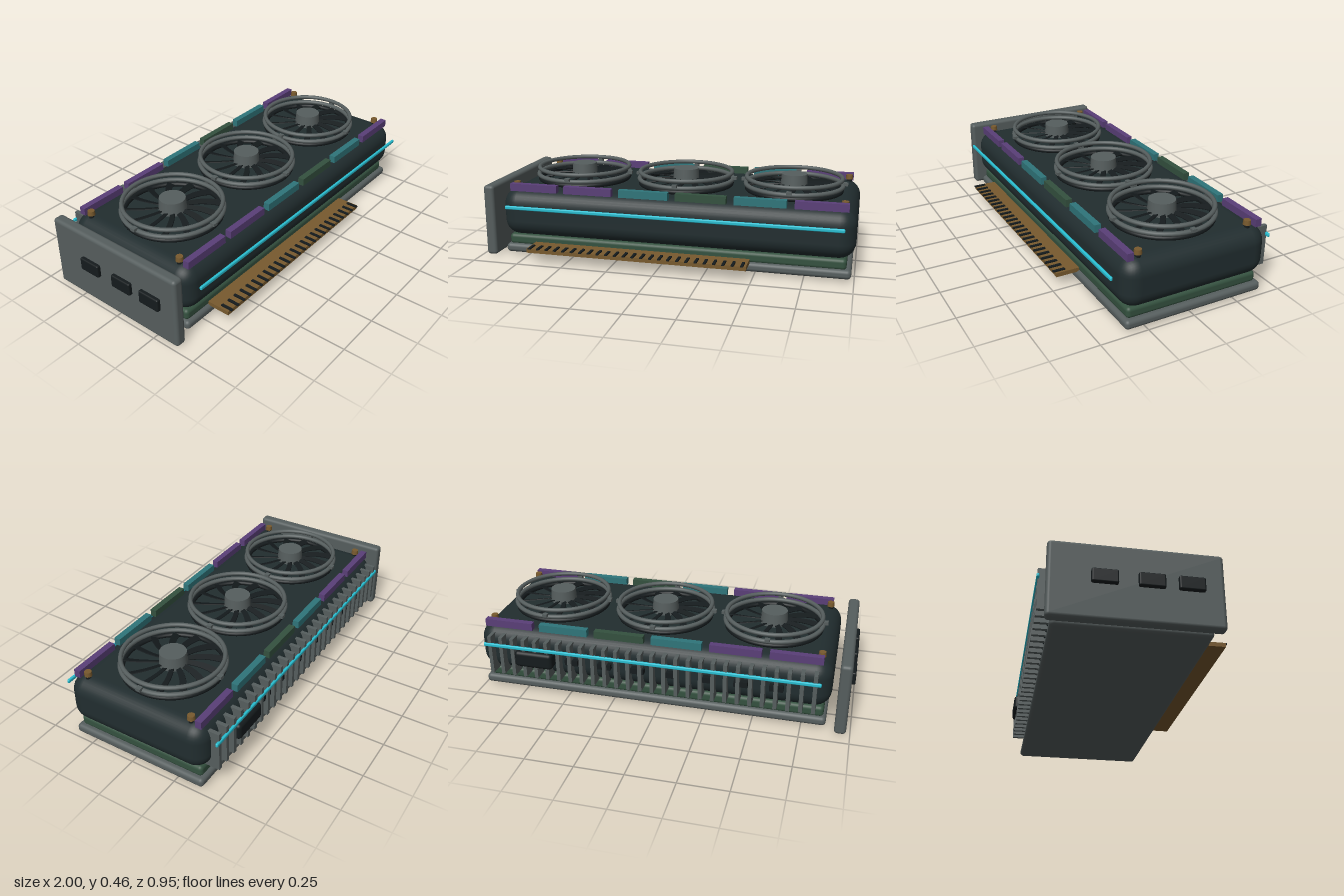
import * as THREE from 'three';
import { RoundedBoxGeometry } from 'three/addons/geometries/RoundedBoxGeometry.js';

export function createModel() {
  const model = new THREE.Group();
  model.name = 'graphicsCard';

  const mat = (name, color, opts = {}) => {
    const m = new THREE.MeshStandardMaterial({ color, ...opts });
    m.name = name;
    return m;
  };
  const shroudMat = mat('darkSlate', 0x212d2f);
  const greyMat = mat('metalGrey', 0x565e5e);
  const blackMat = mat('nearBlack', 0x151b1d, { side: THREE.DoubleSide });
  const greenMat = mat('boardGreen', 0x34513f);
  const purpleMat = mat('purple', 0x5a3f78);
  const tealMat = mat('teal', 0x2f757a);
  const cyanMat = mat('glowCyan', 0x29bfd2);
  const goldMat = mat('gold', 0x785a2e);

  const add = (name, geo, material, x = 0, y = 0, z = 0, parent = model) => {
    const mesh = new THREE.Mesh(geo, material);
    mesh.name = name;
    mesh.position.set(x, y, z);
    parent.add(mesh);
    return mesh;
  };
  // Box given by its extents; a radius rounds the edges
  const box = (name, material, x0, x1, y0, y1, z0, z1, r = 0) => {
    const s = [x1 - x0, y1 - y0, z1 - z0];
    const geo = r ? new RoundedBoxGeometry(...s, 4, r) : new THREE.BoxGeometry(...s);
    return add(name, geo, material, (x0 + x1) / 2, (y0 + y1) / 2, (z0 + z1) / 2);
  };

  // Main layers
  box('shroud', shroudMat, -0.89, 1, 0.11, 0.367, -0.415, 0.375, 0.085);
  box('circuitBoard', greenMat, -0.86, 0.96, 0.055, 0.115, -0.382, 0.342, 0.02);
  box('backplate', greyMat, -0.875, 0.985, 0.014, 0.063, -0.4, 0.36, 0.02);

  // Mounting bracket with three ports
  box('bracket', greyMat, -0.98, -0.92, 0, 0.39, -0.431, 0.388, 0.018);
  for (const z of [-0.17, 0.045, 0.23]) {
    box('port', blackMat, -1, -0.97, 0.18, 0.25, z - 0.062, z + 0.062, 0.008);
  }

  // Cooling fins on the back, with small dark spacers between them
  for (let i = 0; i < 28; i++) {
    const x = -0.81 + i * 0.0638;
    box('coolingFin', greyMat, x - 0.01, x + 0.01, 0.117, 0.332, -0.458, -0.38);
  }
  for (let i = 0; i < 7; i++) {
    const x = -0.62 + i * 0.18;
    box('finSpacer', blackMat, x - 0.035, x + 0.035, 0.21, 0.24, -0.445, -0.41);
  }
  box('powerSocket', blackMat, 0.56, 0.77, 0.18, 0.27, -0.475, -0.4, 0.02);

  // Light strips along both long sides
  for (const z of [0.416, -0.457]) {
    box('lightStrip', cyanMat, -0.84, 0.945, 0.275, 0.295, z - 0.007, z + 0.007, 0.006);
  }

  // Edge connector with contact slots
  box('edgeConnector', goldMat, -0.705, 0.475, 0.057, 0.079, 0.33, 0.467);
  for (let i = 0; i < 25; i++) {
    const x = -0.685 + i * 0.0475;
    box('contactSlot', blackMat, x - 0.007, x + 0.007, 0.079, 0.086, 0.412, 0.478);
  }

  // Coloured accent bars along the top edges
  const barMats = [purpleMat, purpleMat, tealMat, greenMat, tealMat, purpleMat];
  for (const z of [0.33, -0.372]) {
    barMats.forEach((m, i) => {
      const x = -0.705 + i * 0.306;
      box('accentBar', m, x - 0.133, x + 0.133, 0.36, 0.4, z - 0.017, z + 0.017);
    });
  }

  // Corner screws
  for (const x of [-0.825, 0.935]) {
    for (const z of [0.28, -0.32]) {
      add('screwBase', new THREE.CylinderGeometry(0.014, 0.014, 0.04, 12), blackMat, x, 0.36, z);
      add('screwHead', new THREE.CylinderGeometry(0.018, 0.02, 0.024, 12), goldMat, x, 0.388, z);
    }
  }

  // Swept fan blade, laid flat and pitched along its length
  const bladeShape = new THREE.Shape();
  bladeShape.moveTo(0.055, -0.012);
  bladeShape.quadraticCurveTo(0.15, -0.01, 0.238, -0.065);
  bladeShape.lineTo(0.245, -0.025);
  bladeShape.quadraticCurveTo(0.15, 0.022, 0.055, 0.012);
  const bladeGeo = new THREE.ExtrudeGeometry(bladeShape, { depth: 0.005, bevelEnabled: false, curveSegments: 6 });
  bladeGeo.rotateX(-Math.PI / 2);
  bladeGeo.rotateX(0.35);
  const ringGeo = (radius, tube) => new THREE.TorusGeometry(radius, tube, 10, 48).rotateX(Math.PI / 2);

  // Three fans: rings, hub, blades and clips
  for (const x of [-0.545, 0.054, 0.652]) {
    const fan = new THREE.Group();
    fan.name = 'fan';
    fan.position.set(x, 0, -0.022);
    model.add(fan);
    add('baseRing', ringGeo(0.252, 0.013), blackMat, 0, 0.377, 0, fan);
    add('lowerRing', ringGeo(0.26, 0.012), greyMat, 0, 0.401, 0, fan);
    add('upperRing', ringGeo(0.255, 0.0115), greyMat, 0, 0.438, 0, fan);
    add('hub', new THREE.CylinderGeometry(0.068, 0.073, 0.07, 24), greyMat, 0, 0.423, 0, fan);
    for (let i = 0; i < 13; i++) {
      const blade = add('blade', bladeGeo, blackMat, 0, 0.398, 0, fan);
      blade.rotation.y = (i / 13) * Math.PI * 2;
    }
    for (let i = 0; i < 4; i++) {
      const a = (i * Math.PI) / 2;
      add('clip', new THREE.BoxGeometry(0.026, 0.016, 0.026), greyMat,
        Math.cos(a) * 0.272, 0.414, Math.sin(a) * 0.272, fan);
    }
  }
  return model;
}
